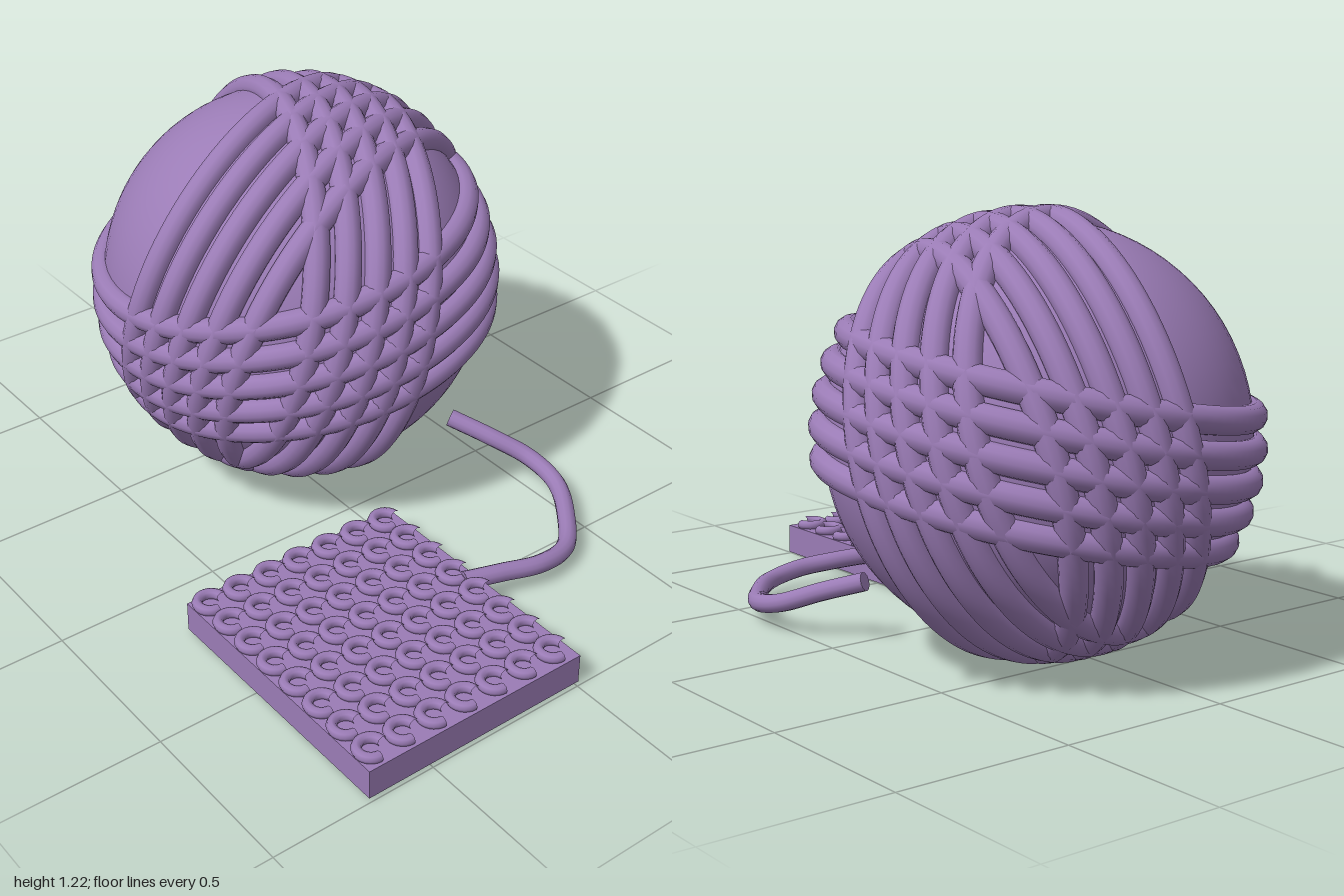
import * as THREE from 'three';

const yarn = new THREE.MeshStandardMaterial({ color: 0x9b7cb6 });

function add(parent, name, geometry, x = 0, y = 0, z = 0) {
  const mesh = new THREE.Mesh(geometry, yarn);
  mesh.name = name;
  mesh.position.set(x, y, z);
  parent.add(mesh);
  return mesh;
}

// Parallel loops of yarn wound around the ball, square to the given axis
function winding(parent, name, axis) {
  const band = new THREE.Group();
  band.name = name;
  band.quaternion.setFromUnitVectors(new THREE.Vector3(0, 0, 1), axis.normalize());
  const radius = 0.575, thickness = 0.038, spacing = 0.086;
  for (let i = -2; i <= 2; i++) {
    const d = i * spacing;
    const loop = new THREE.TorusGeometry(Math.sqrt(radius * radius - d * d), thickness, 12, 96);
    add(band, 'strand', loop, 0, 0, d);
  }
  parent.add(band);
}

export function createModel() {
  const model = new THREE.Group();
  model.name = 'yarnBallWithSwatch';

  // Ball: smooth core with three crossing windings
  const ball = new THREE.Group();
  ball.name = 'yarnBall';
  ball.position.set(0.09, 0.62, -0.385);
  add(ball, 'core', new THREE.SphereGeometry(0.575, 64, 40));
  winding(ball, 'levelWinding', new THREE.Vector3(-0.18, 1, -0.1));
  winding(ball, 'frontToBackWinding', new THREE.Vector3(1, -0.25, 0.3));
  winding(ball, 'sideToSideWinding', new THREE.Vector3(0.35, -0.3, 1));
  model.add(ball);

  // Knitted swatch: slab covered with open loops
  const swatch = new THREE.Group();
  swatch.name = 'swatch';
  add(swatch, 'slab', new THREE.BoxGeometry(0.71, 0.09, 0.815), -0.345, 0.06, 0.585);
  const stitch = new THREE.TorusGeometry(0.037, 0.015, 8, 20, Math.PI * 1.5);
  stitch.rotateX(-Math.PI / 2);
  for (let row = 0; row < 8; row++) {
    for (let col = 0; col < 7; col++) {
      add(swatch, 'stitch', stitch, -0.652 + col * 0.102, 0.116, 0.222 + row * 0.102);
    }
  }
  model.add(swatch);

  // Loose strand from ball to swatch, with capped ends
  const path = new THREE.CatmullRomCurve3([
    [0.39, 0.18, 0.0], [0.46, 0.14, 0.11], [0.525, 0.095, 0.22], [0.525, 0.07, 0.34],
    [0.44, 0.058, 0.48], [0.34, 0.056, 0.58], [0.22, 0.07, 0.605], [0.1, 0.082, 0.58],
    [-0.02, 0.09, 0.55],
  ].map((p) => new THREE.Vector3(...p)));
  add(model, 'looseStrand', new THREE.TubeGeometry(path, 64, 0.027, 12));
  for (const t of [0, 1]) {
    const cap = add(model, 'strandEnd', new THREE.CircleGeometry(0.027, 12));
    cap.position.copy(path.getPoint(t));
    const outward = path.getTangent(t).multiplyScalar(t ? 1 : -1);
    cap.quaternion.setFromUnitVectors(new THREE.Vector3(0, 0, 1), outward);
  }

  return model;
}
